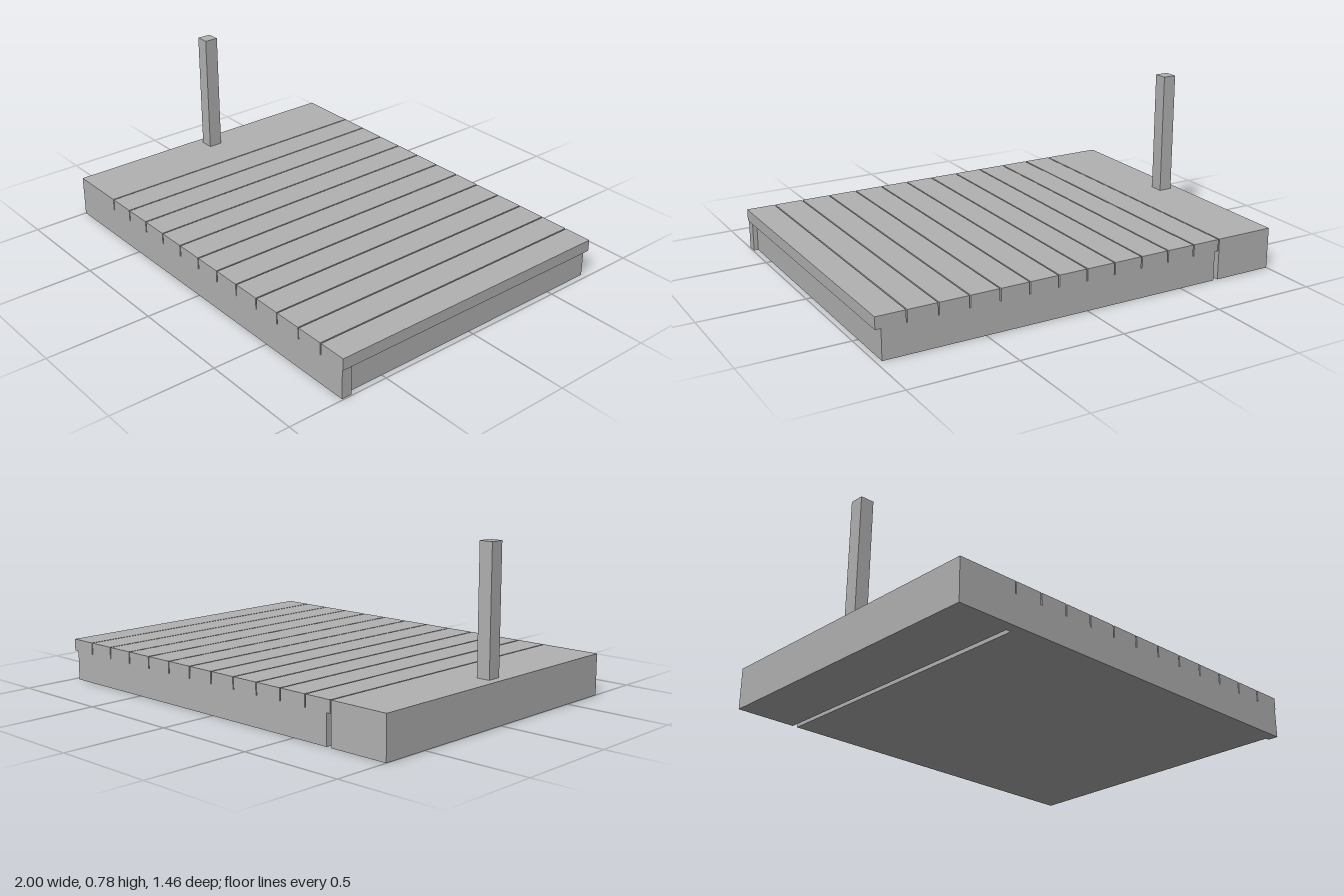
import * as THREE from 'three';

export function createModel() {
  const model = new THREE.Group();
  const grey = new THREE.MeshStandardMaterial({ color: 0xb2b2b2 });
  grey.name = 'plain grey';

  const depth = 0.73;      // half depth of the platform
  const deckY = 0.14;      // underside of the planks
  const topY = 0.196;      // walking surface
  const sillX = -0.71;     // where the solid end block meets the planks

  function add(name, geometry) {
    const mesh = new THREE.Mesh(geometry, grey);
    mesh.name = name;
    model.add(mesh);
    return mesh;
  }

  function box(name, x0, x1, y0, y1, z0, z1) {
    const mesh = add(name, new THREE.BoxGeometry(x1 - x0, y1 - y0, z1 - z0));
    mesh.position.set((x0 + x1) / 2, (y0 + y1) / 2, (z0 + z1) / 2);
    return mesh;
  }

  // Base in plan: end block, front strip and main slab, with a slot open at the back
  const plan = [
    [-1, -depth], [0.995, -depth], [0.995, -0.68], [0.974, -0.68], [0.974, depth],
    [-0.686, depth], [-0.686, -0.68], [sillX, -0.68], [sillX, depth], [-1, depth],
  ].map(([x, y]) => new THREE.Vector2(x, y));
  const base = new THREE.ExtrudeGeometry(new THREE.Shape(plan), { depth: deckY, bevelEnabled: false });
  base.rotateX(-Math.PI / 2);
  add('base', base);

  // Raised top of the end block
  box('endBlockTop', -1, sillX, deckY, topY, -depth, depth);

  // Twelve planks with narrow gaps, overhanging the recessed end
  const count = 12, gap = 0.006;
  const pitch = (1 - sillX) / count;
  for (let i = 0; i < count; i++) {
    const x = sillX + i * pitch;
    box('plank' + (i + 1), x + gap, x + pitch, deckY, topY, -depth, depth);
  }

  // Upright post on the end block
  box('post', -0.96, -0.895, topY, 0.78, -0.034, 0.034);

  return model;
}
